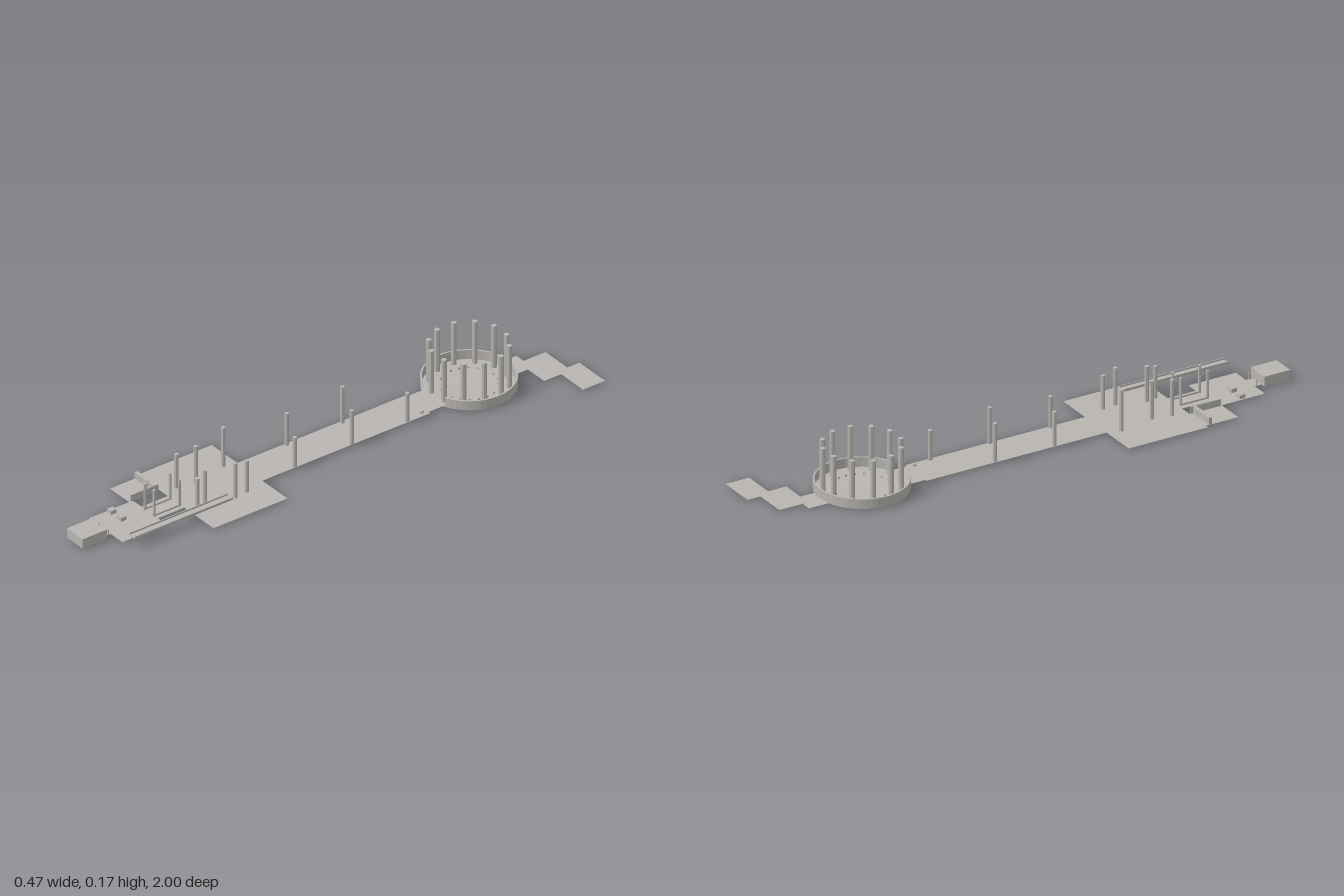
import * as THREE from 'three';

export function createModel() {
  const model = new THREE.Group();
  const stone = new THREE.MeshStandardMaterial({ color: 0xb8b5b1, side: THREE.DoubleSide, flatShading: true });
  stone.name = 'stone grey';
  const FLOOR = 0.006;

  function add(name, geometry, x = 0, y = 0, z = 0) {
    const mesh = new THREE.Mesh(geometry, stone);
    mesh.name = name;
    mesh.position.set(x, y, z);
    model.add(mesh);
    return mesh;
  }
  // Box given by its limits on each axis
  function block(name, x0, x1, y0, y1, z0, z1) {
    return add(name, new THREE.BoxGeometry(x1 - x0, y1 - y0, z1 - z0),
      (x0 + x1) / 2, (y0 + y1) / 2, (z0 + z1) / 2);
  }
  const slab = (name, x0, x1, z0, z1) => block(name, x0, x1, FLOOR - 0.002, FLOOR, z0, z1);
  function pillar(name, x, z, top, r = 0.0075) {
    add(name, new THREE.CylinderGeometry(r, r, top - FLOOR, 8), x, (top + FLOOR) / 2, z);
  }

  // Floors, from the back steps to the front neck
  slab('backTile', 0.09, 0.23, -1, -0.91);
  slab('backTile', -0.03, 0.11, -0.95, -0.84);
  slab('backTile', -0.07, 0.02, -0.86, -0.775);
  slab('ringThreshold', -0.087, 0.033, -0.5, -0.42);
  slab('causeway', -0.095, 0.042, -0.42, 0.275);
  slab('plaza', -0.235, 0.18, 0.275, 0.58);
  slab('sideTerrace', -0.222, -0.117, 0.58, 0.705);
  slab('bridge', -0.07, 0.02, 0.58, 0.69);
  slab('forecourt', -0.117, 0.067, 0.69, 0.872);
  slab('frontNeck', -0.052, 0.003, 0.872, 0.905);
  block('frontBlock', -0.068, 0.018, FLOOR - 0.002, 0.04, 0.9, 1);

  // Round arena: shallow bowl and a rim wall open towards the causeway
  const cx = -0.025, cz = -0.63;
  const v = (x, y) => new THREE.Vector2(x, y);
  add('arenaFloor', new THREE.LatheGeometry([v(0, 0), v(0.05, 0.001), v(0.1, 0.004), v(0.162, 0.005)], 48), cx, 0, cz);
  const gap = 0.41;
  add('arenaWall', new THREE.LatheGeometry(
    [v(0.156, 0.005), v(0.162, 0.005), v(0.162, 0.04), v(0.156, 0.04), v(0.156, 0.005)],
    44, gap, Math.PI * 2 - gap * 2), cx, 0, cz);

  // Ring of tall columns
  for (let i = 0; i < 12; i++) {
    const a = (i + 0.5) * Math.PI / 6;
    pillar('arenaColumn', cx + 0.134 * Math.sin(a), cz + 0.134 * Math.cos(a), 0.168, 0.0095);
  }
  // Low markers round the bowl
  for (let i = 0; i < 20; i++) {
    const a = i * Math.PI / 10;
    const marker = add('bowlMarker', new THREE.BoxGeometry(0.008, 0.007, 0.003),
      cx + 0.1 * Math.sin(a), 0.0075, cz + 0.1 * Math.cos(a));
    marker.rotation.y = a;
  }

  // Standing pillars of uneven height: x, z, top
  [
    [0.034, -0.33, 0.115], [-0.087, -0.153, 0.146], [0.038, -0.097, 0.138],
    [-0.087, 0.077, 0.13], [0.036, 0.137, 0.12], [-0.108, 0.323, 0.157],
    [0.065, 0.357, 0.128], [0.071, 0.408, 0.141], [-0.084, 0.455, 0.146],
    [-0.096, 0.526, 0.136], [0.038, 0.51, 0.135], [0.047, 0.548, 0.122],
  ].forEach(([x, z, top]) => pillar('pillar', x, z, top));
  pillar('pillarStump', 0.022, -0.398, 0.014);

  // Bridge posts and curbs
  for (const x of [-0.049, 0.002]) {
    for (const z of [0.588, 0.692]) pillar('bridgePost', x, z, 0.108, 0.005);
    block('bridgeCurb', x - 0.002, x + 0.002, FLOOR, 0.012, 0.585, 0.69);
    pillar('neckPost', x, 0.882, 0.028, 0.003);
  }

  // Low terrace wall in three pieces, with a return along the inner edge
  for (let i = 0; i < 3; i++) {
    const x = -0.222 + i * 0.035;
    block('terraceWall', x, x + 0.034, FLOOR, 0.031, 0.592, 0.604);
  }
  block('terraceReturn', -0.12, -0.115, FLOOR, 0.031, 0.585, 0.7);

  // Small plinths on the forecourt
  for (const x of [-0.1, -0.046]) block('plinth', x - 0.011, x + 0.011, FLOOR, 0.02, 0.779, 0.801);

  // Raised channel beside the plaza
  block('channelBed', 0.084, 0.116, 0.036, 0.039, 0.452, 0.857);
  for (const x of [0.084, 0.113]) block('channelSide', x, x + 0.003, 0.036, 0.045, 0.452, 0.857);

  return model;
}
